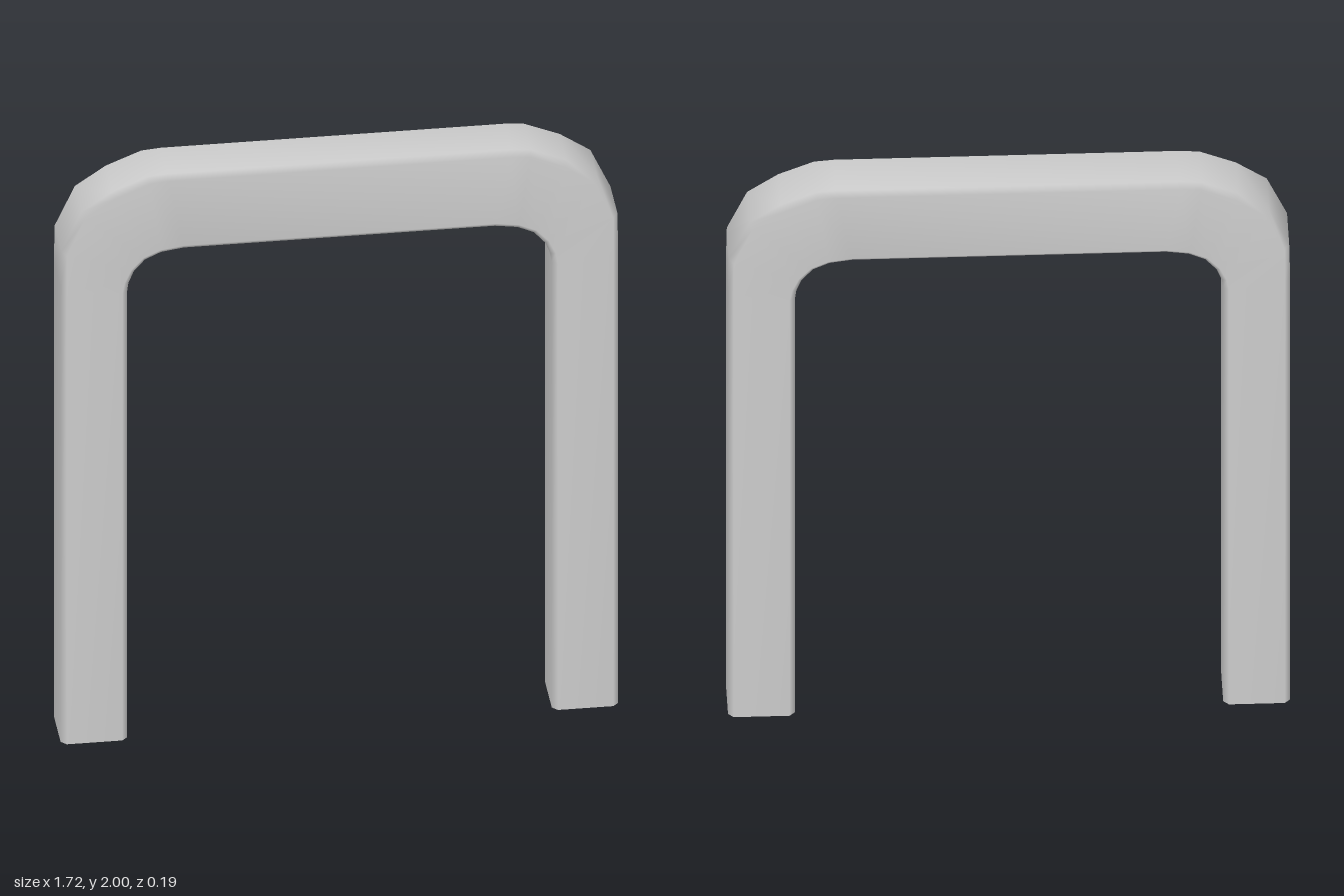
import * as THREE from 'three';

const HALF_DEPTH = 0.095;
const BEVEL = 0.017;

// Half of the arch: [outerX, outerY, innerX, innerY], from the foot to the top bar
const HALF = [
  [0.86, 0, 0.655, 0],
  [0.86, 1.62, 0.655, 1.59],
  [0.857, 1.75, 0.651, 1.62],
  [0.795, 1.885, 0.635, 1.66],
  [0.70, 1.95, 0.60, 1.70],
  [0.59, 1.995, 0.55, 1.723],
  [0.53, 2.0, 0.48, 1.733],
];

// Bevelled rectangular section spanning the outer and inner point
function section([ox, oy, ix, iy]) {
  const outer = new THREE.Vector3(ox, oy, 0);
  const inner = new THREE.Vector3(ix, iy, 0);
  const step = inner.clone().sub(outer).normalize().multiplyScalar(BEVEL);
  const d = HALF_DEPTH, e = HALF_DEPTH - BEVEL;
  const at = (base, k, z) => base.clone().addScaledVector(step, k).setZ(z);
  return [
    at(outer, 0, -e), at(outer, 0, e), at(outer, 1, d), at(inner, -1, d),
    at(inner, 0, e), at(inner, 0, -e), at(inner, -1, -d), at(outer, 1, -d),
  ];
}

function archGeometry() {
  const mirrored = HALF.map(([ox, oy, ix, iy]) => [-ox, oy, -ix, iy]);
  const rings = [...mirrored, ...HALF.slice().reverse()].map(section);
  const n = rings[0].length;
  const last = rings.length - 1;
  const points = rings.flat();
  const index = [];

  // Skin between neighbouring sections
  for (let i = 0; i < last; i++) {
    for (let j = 0; j < n; j++) {
      const a = i * n + j, b = i * n + (j + 1) % n;
      index.push(a, b, b + n, a, b + n, a + n);
    }
  }

  // Flat feet, with their own vertices for a sharp edge
  [rings[0], rings[last]].forEach((ring, end) => {
    const s = points.length;
    points.push(...ring);
    for (let k = 1; k < n - 1; k++) {
      if (end) index.push(s, s + k, s + k + 1);
      else index.push(s, s + k + 1, s + k);
    }
  });

  const geometry = new THREE.BufferGeometry().setFromPoints(points);
  geometry.setIndex(index);
  geometry.computeVertexNormals();
  return geometry;
}

export function createModel() {
  const group = new THREE.Group();
  group.name = 'archFrame';
  const material = new THREE.MeshStandardMaterial({ color: 0xcccccc });
  const arch = new THREE.Mesh(archGeometry(), material);
  arch.name = 'arch';
  group.add(arch);
  return group;
}
